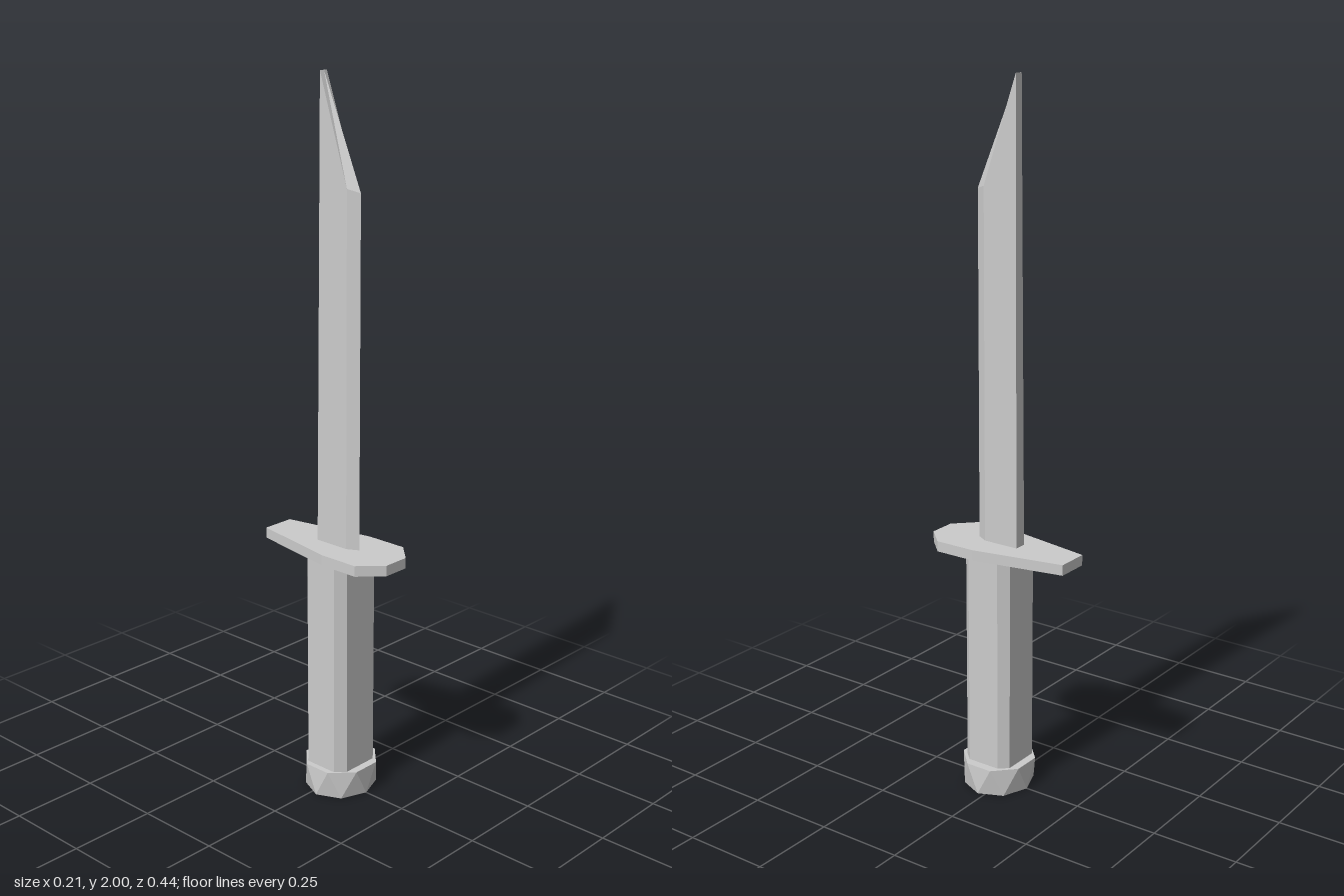
import * as THREE from 'three';

const material = new THREE.MeshStandardMaterial({ color: 0xcccccc, flatShading: true });

// Closed solid between two rings of [x, y, z] corners, counter-clockwise from above.
// The top closes as a fan to "apex" (by default the middle of the ring).
function loft(name, lower, upper, apex) {
  const middle = ring => [0, 1, 2].map(k => ring.reduce((sum, p) => sum + p[k], 0) / ring.length);
  const base = middle(lower), top = apex || middle(upper), corners = [];
  lower.forEach((a, i) => {
    const j = (i + 1) % lower.length;
    corners.push(a, lower[j], upper[i]);
    corners.push(lower[j], upper[j], upper[i]);
    corners.push(base, lower[j], a);
    corners.push(top, upper[i], upper[j]);
  });
  const geometry = new THREE.BufferGeometry();
  geometry.setAttribute('position', new THREE.Float32BufferAttribute(corners.flat(), 3));
  geometry.computeVertexNormals();
  const mesh = new THREE.Mesh(geometry, material);
  mesh.name = name;
  return mesh;
}

// Lifts an [x, z] outline to height y
const at = (outline, y) => outline.map(([x, z]) => [x, y, z]);

// Eight-sided ring turned by "turn" radians
function octagon(rx, rz, turn) {
  return Array.from({ length: 8 }, (_, i) => {
    const t = turn + i * Math.PI / 4;
    return [rx * Math.cos(t), 0.02 - rz * Math.sin(t)];
  });
}

export function createModel() {
  const model = new THREE.Group();
  model.name = 'knife';

  // Pommel: two octagons, twisted half a step to give triangular facets
  model.add(loft('pommel',
    at(octagon(0.105, 0.097, 0), 0),
    at(octagon(0.108, 0.105, Math.PI / 8), 0.08)));

  // Grip: rectangle with chamfered corners
  const grip = [
    [0.075, -0.028], [0.052, -0.054], [-0.058, -0.054], [-0.084, -0.028],
    [-0.084, 0.07], [-0.058, 0.095], [0.052, 0.095], [0.075, 0.07],
  ];
  model.add(loft('grip', at(grip, 0.07), at(grip, 0.705)));

  // Guard: flat plate, tapering to the back
  const guard = [
    [0.045, -0.222], [-0.05, -0.222], [-0.1, 0.04], [-0.1, 0.16],
    [-0.04, 0.22], [0.038, 0.22], [0.095, 0.162], [0.095, 0.04],
  ];
  model.add(loft('guard', at(guard, 0.7), at(guard, 0.73)));

  // Blade: thick spine at the back, cutting edge in front, slanted point
  const blade = [[0.014, -0.049], [-0.022, -0.049], [-0.022, 0.058], [-0.005, 0.091], [0.014, 0.058]];
  const point = [
    [0.009, 2, -0.04], [-0.017, 2, -0.04],
    [-0.022, 1.71, 0.058], [-0.005, 1.7, 0.091], [0.014, 1.71, 0.058],
  ];
  model.add(loft('blade', at(blade, 0.72), point, [-0.004, 2, -0.038]));

  return model;
}
